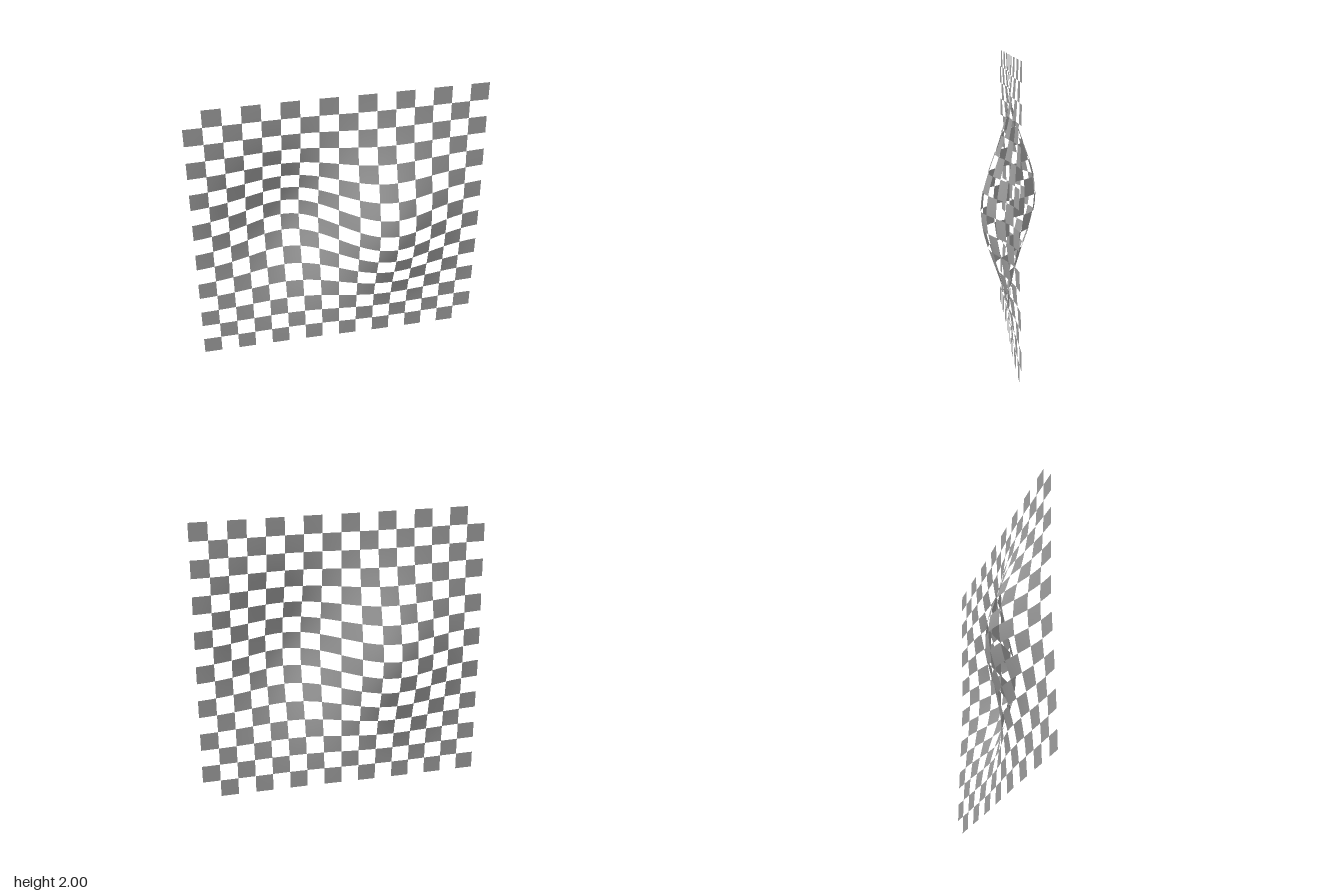
import * as THREE from 'three';

const CELLS = 16; // cells per side
const SUB = 4; // subdivisions per cell
const STEP = 2 / CELLS;

// Surface depth: a bump towards the front on the left, a hollow on the right
function depth(x, y) {
  const u = 2 * x, v = 2 * (y - 1);
  return 0.5 * u * Math.exp(-u * u - v * v);
}

export function createModel() {
  const group = new THREE.Group();
  group.name = 'checkeredWaveSurface';

  const positions = [], normals = [], indices = [];

  // Point on the surface with its exact normal
  const addPoint = (x, y) => {
    const u = 2 * x, v = 2 * (y - 1);
    const e = Math.exp(-u * u - v * v);
    const n = new THREE.Vector3(-(1 - 2 * u * u) * e, 2 * u * v * e, 1).normalize();
    positions.push(x, y, depth(x, y));
    normals.push(n.x, n.y, n.z);
  };

  // One curved square patch
  const addCell = (i, j) => {
    const base = positions.length / 3, row = SUB + 1;
    for (let b = 0; b <= SUB; b++) {
      for (let a = 0; a <= SUB; a++) {
        addPoint(-1 + (i + a / SUB) * STEP, (j + b / SUB) * STEP);
      }
    }
    for (let b = 0; b < SUB; b++) {
      for (let a = 0; a < SUB; a++) {
        const k = base + b * row + a;
        indices.push(k, k + 1, k + row + 1, k, k + row + 1, k + row);
      }
    }
  };

  // Only every other cell is filled, leaving a checkerboard of openings
  for (let j = 0; j < CELLS; j++) {
    for (let i = j % 2; i < CELLS; i += 2) addCell(i, j);
  }

  const geometry = new THREE.BufferGeometry();
  geometry.setAttribute('position', new THREE.Float32BufferAttribute(positions, 3));
  geometry.setAttribute('normal', new THREE.Float32BufferAttribute(normals, 3));
  geometry.setIndex(indices);

  const material = new THREE.MeshStandardMaterial({ color: 0x9c9c9c, side: THREE.DoubleSide });
  const sheet = new THREE.Mesh(geometry, material);
  sheet.name = 'checkeredSheet';
  group.add(sheet);
  return group;
}
